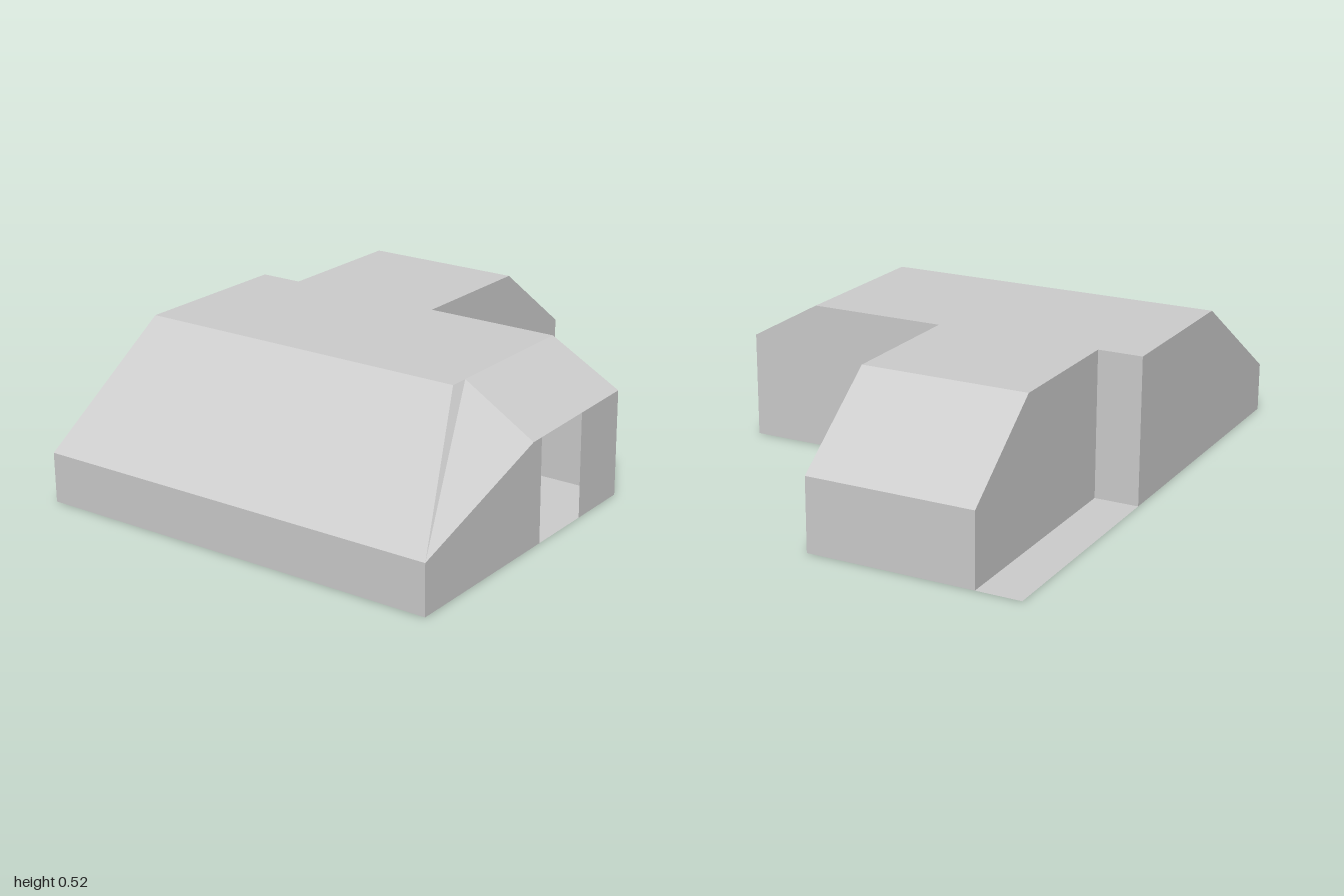
import * as THREE from 'three';

const plaster = new THREE.MeshStandardMaterial({ color: 0xcccccc, side: THREE.DoubleSide });
plaster.name = 'light grey';

// Flat shape from [u, v] outline points, with optional holes
function flat(outline, holes = []) {
  const toV = (p) => p.map(([u, v]) => new THREE.Vector2(u, v));
  const shape = new THREE.Shape(toV(outline));
  holes.forEach((h) => shape.holes.push(new THREE.Path(toV(h))));
  return new THREE.ShapeGeometry(shape);
}

// Wall across x at a given z; points are [x, y]
const crossWall = (z, outline) => flat(outline).translate(0, 0, z);

// Wall along z at a given x; points are [z, y]
function sideWall(x, outline, holes = []) {
  const flip = (p) => p.map(([z, y]) => [-z, y]);
  return flat(flip(outline), holes.map(flip)).rotateY(Math.PI / 2).translate(x, 0, 0);
}

// Level sheet at a given y; points are [x, z]
function sheet(y, outline) {
  return flat(outline.map(([x, z]) => [x, -z])).rotateX(-Math.PI / 2).translate(0, y, 0);
}

// Sloping panel from 3D corners, counter-clockwise from outside
function panel(corners) {
  const pos = [];
  for (let i = 1; i < corners.length - 1; i++) pos.push(...corners[0], ...corners[i], ...corners[i + 1]);
  const g = new THREE.BufferGeometry();
  g.setAttribute('position', new THREE.Float32BufferAttribute(pos, 3));
  g.computeVertexNormals();
  return g;
}

const rect = (a0, b0, a1, b1) => [[a0, b0], [a1, b0], [a1, b1], [a0, b1]];

export function createModel() {
  const model = new THREE.Group();
  model.name = 'house';
  const add = (name, geometry) => {
    const mesh = new THREE.Mesh(geometry, plaster);
    mesh.name = name;
    model.add(mesh);
  };

  const W = 0.76, TOP = 0.525, EAVE = 0.178, BACK = -0.14;
  const wingL = -0.6, ridge = 0.5, brow = 0.47;

  // Floor slab with a missing front corner and a terrace beside the wing
  add('floor', sheet(0, [
    [-W, -1], [0, -1], [0, BACK], [W, BACK], [W, 0.4], [0.43, 0.4], [0.43, 1], [-W, 1],
  ]));

  // Roof: flat top, front slope, hipped side, wing slope
  add('flatRoof', sheet(TOP, [
    [-W, BACK], [wingL, BACK], [wingL, -0.65], [0, -0.65], [0, BACK], [ridge, BACK], [ridge, brow], [-W, brow],
  ]));
  add('frontRoofSlope', panel([[-W, EAVE, 1], [W, EAVE, 1], [ridge, TOP, brow], [-W, TOP, brow]]));
  add('sideRoofSlope', panel([[ridge, TOP, 0.4], [W, 0.367, 0.4], [W, 0.38, BACK], [ridge, TOP, BACK]]));
  add('hipCorner', panel([[W, EAVE, 1], [W, 0.367, 0.4], [ridge, TOP, 0.4], [ridge, TOP, brow]]));
  add('wingRoofSlope', panel([[0, 0.26, -1], [wingL, 0.26, -1], [wingL, TOP, -0.65], [0, TOP, -0.65]]));

  // Main block walls, with a full-height doorway on the hipped side
  add('frontWall', crossWall(1, rect(-W, 0, W, EAVE)));
  add('rightWall', sideWall(-W, [[1, 0], [1, EAVE], [brow, TOP], [BACK, TOP], [BACK, 0]]));
  add('leftWallFront', sideWall(W, [[1, 0], [1, EAVE], [0.4, 0.367], [0.35, 0.368], [0.35, 0]]));
  add('leftWallBack', sideWall(W, [[0.1, 0], [0.1, 0.374], [BACK, 0.38], [BACK, 0]]));
  add('backWall', crossWall(BACK, [[-W, 0], [W, 0], [W, 0.38], [ridge, TOP], [-W, TOP]]));

  // Rear wing walls, one with a small window opening
  const wingProfile = [[BACK, 0], [BACK, TOP], [-0.65, TOP], [-1, 0.26], [-1, 0]];
  add('wingRightWall', sideWall(wingL, wingProfile));
  add('wingLeftWall', sideWall(0, wingProfile, [rect(-0.65, 0.05, -0.7, 0.18)]));
  add('wingEndWall', crossWall(-1, rect(wingL, 0, 0, 0.26)).rotateY(0));

  return model;
}
